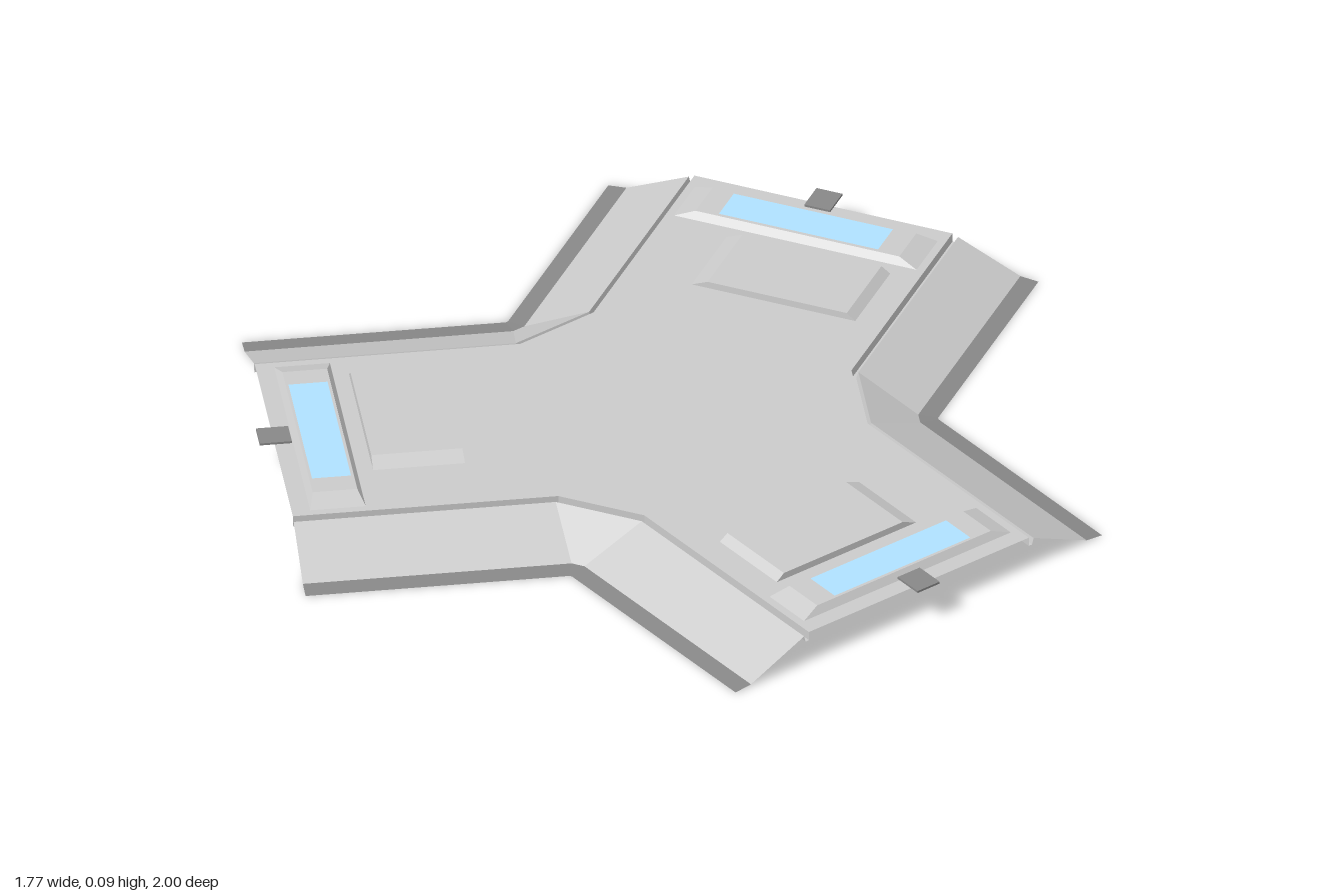
import * as THREE from 'three';

const ARM = 0.866;      // hub centre to arm end
const DECK_Y = 0.075;
const S60 = Math.sin(Math.PI / 3);

const mat = (color) => new THREE.MeshStandardMaterial({ color, flatShading: true, side: THREE.DoubleSide });
const grey = mat(0xcccccc);
const darkGrey = mat(0x888888);
const blue = mat(0xb0e2ff);

function add(parent, name, geometry, material = grey) {
  const mesh = new THREE.Mesh(geometry, material);
  mesh.name = name;
  parent.add(mesh);
  return mesh;
}

// Plan line [x, z] along the inside corner between two arms (corner faces +x),
// at half-width h, with the corner cut off c to each side
function cornerLine(h, c) {
  const end = [0.5 * ARM + S60 * h, S60 * ARM - 0.5 * h];
  const cut = [h / S60 + c * 0.5 / S60, c];
  return [[end[0], -end[1]], [cut[0], -cut[1]], cut, end];
}

// Strip of faces joining profile rows [halfWidth, y, cornerCut], outer row first
function loft(rows) {
  const lines = rows.map(([h, y, c]) => cornerLine(h, c).map(([x, z]) => [x, y, z]));
  const pos = [];
  for (let i = 0; i < lines.length - 1; i++) {
    const o = lines[i], n = lines[i + 1];
    for (let j = 0; j < 3; j++) {
      pos.push(...o[j], ...n[j], ...o[j + 1], ...o[j + 1], ...n[j], ...n[j + 1]);
    }
  }
  const g = new THREE.BufferGeometry();
  g.setAttribute('position', new THREE.Float32BufferAttribute(pos, 3));
  g.computeVertexNormals();
  return g;
}

// Block whose top face is inset by dx on both x sides and dz0, dz1 on the z sides
function bevelBlock(x0, x1, z0, z1, y0, y1, dx, dz0, dz1) {
  const g = new THREE.BoxGeometry(1, 1, 1);
  const p = g.attributes.position;
  for (let i = 0; i < p.count; i++) {
    const top = p.getY(i) > 0 ? 1 : 0;
    const x = p.getX(i) < 0 ? x0 + top * dx : x1 - top * dx;
    const z = p.getZ(i) < 0 ? z0 + top * dz0 : z1 - top * dz1;
    p.setXYZ(i, x, top ? y1 : y0, z);
  }
  g.computeVertexNormals();
  return g;
}

// Flat three-armed floor
function deckGeometry() {
  const pts = [];
  for (let k = 0; k < 3; k++) {
    const a = k * Math.PI * 2 / 3;
    for (const [x, z] of cornerLine(0.3, 0.1)) {
      pts.push(new THREE.Vector2(x * Math.cos(a) - z * Math.sin(a), x * Math.sin(a) + z * Math.cos(a)));
    }
  }
  return new THREE.ShapeGeometry(new THREE.Shape(pts)).rotateX(-Math.PI / 2).translate(0, DECK_Y, 0);
}

export function createModel() {
  const model = new THREE.Group();
  model.name = 'threeWayJunction';
  const hub = new THREE.Group();
  hub.name = 'hub';
  hub.position.x = 0.0155;
  model.add(hub);

  add(hub, 'deck', deckGeometry());

  for (let k = 0; k < 3; k++) {
    const section = new THREE.Group();
    section.name = 'section' + (k + 1);
    section.rotation.y = k * Math.PI * 2 / 3;
    hub.add(section);

    // Sloping skirt with a ground flange and a narrow groove against the deck
    add(section, 'flange', loft([[0.5, 0, 0.003], [0.458, 0.004, 0.015]]), darkGrey);
    add(section, 'skirt', loft([[0.458, 0.004, 0.015], [0.313, 0.069, 0.1]]));
    add(section, 'groove', loft([
      [0.313, 0.069, 0.1], [0.309, 0.054, 0.1], [0.3, 0.054, 0.1], [0.3, DECK_Y, 0.1],
    ]));

    // Raised floor panel, set off-centre on the arm
    add(section, 'floorPanel', bevelBlock(-0.67, -0.47, -0.235, 0.145, DECK_Y, 0.09, 0.001, 0.02, 0.036));

    // Raised threshold with a light strip on top
    add(section, 'threshold', bevelBlock(-0.826, -0.705, -0.282, 0.282, DECK_Y, 0.091, 0.012, 0.045, 0.045));
    const strip = new THREE.PlaneGeometry(0.085, 0.37).rotateX(-Math.PI / 2).translate(-0.766, 0.0922, 0);
    add(section, 'lightStrip', strip, blue);

    // Thin coupling tab reaching past the arm end
    const tab = new THREE.BoxGeometry(0.07, 0.005, 0.06).translate(-0.8655, 0.0865, 0);
    add(section, 'couplingTab', tab, darkGrey);
  }
  return model;
}
